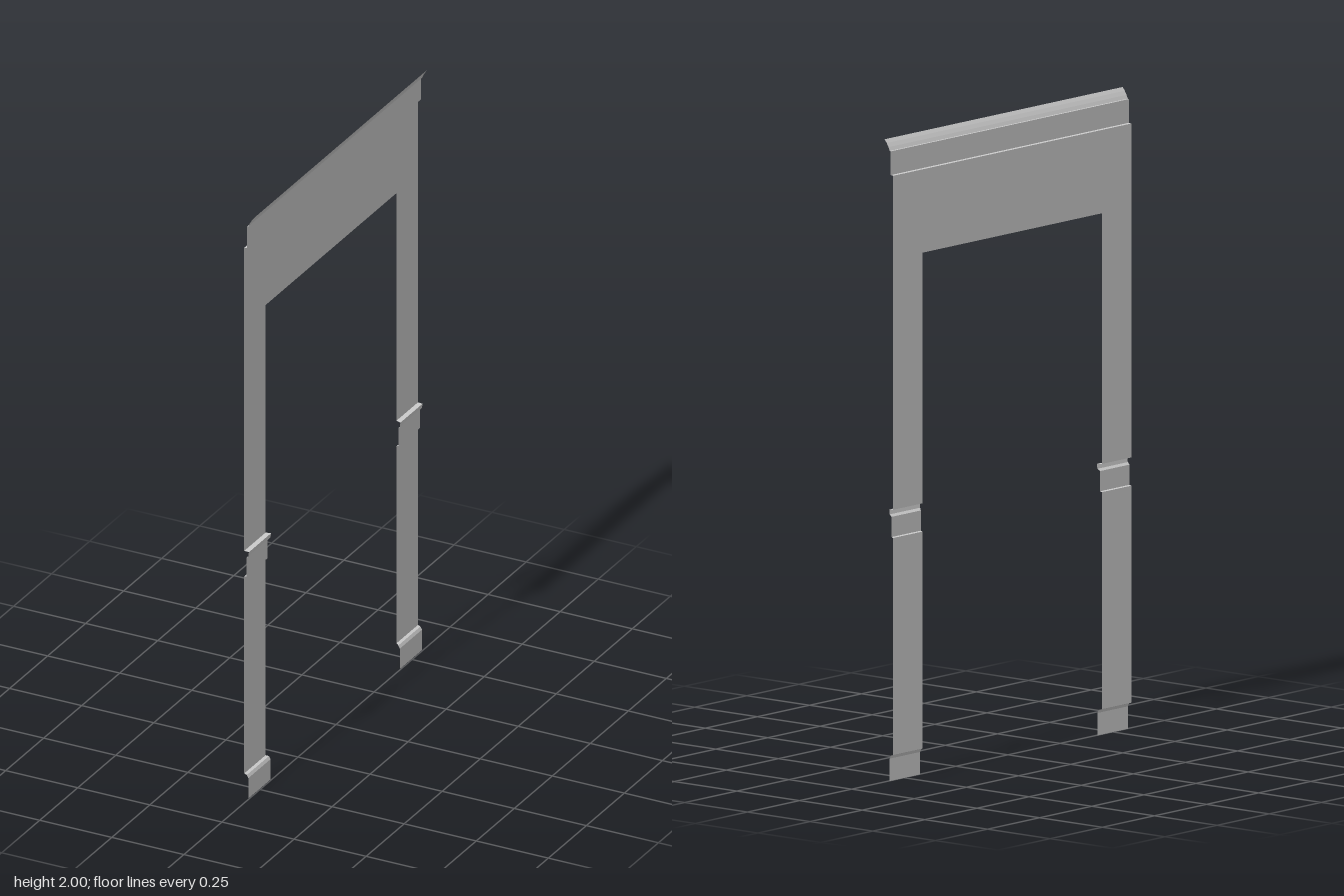
import * as THREE from 'three';

const OUTER = 0.571;   // half width along z
const INNER = 0.43;    // half width of the opening
const WALL = -0.017;   // x of the wall plane
const BAND = -0.007;   // x of the raised bands

const material = new THREE.MeshStandardMaterial({
  color: 0xcccccc, flatShading: true, side: THREE.DoubleSide,
});

// Sweeps an [x, y, inner z] profile (bottom to top) out to z = outer, facing +x.
function sheet(name, profile, outer = OUTER) {
  const positions = [];
  const index = [];
  profile.forEach(([x, y, inner], i) => {
    positions.push(x, y, outer, x, y, inner);
    if (i > 0) {
      const a = 2 * (i - 1);
      // keep the front face towards +x for either sign of z
      if (outer > 0) index.push(a, a + 1, a + 3, a, a + 3, a + 2);
      else index.push(a, a + 3, a + 1, a, a + 2, a + 3);
    }
  });
  const geometry = new THREE.BufferGeometry();
  geometry.setAttribute('position', new THREE.Float32BufferAttribute(positions, 3));
  geometry.setIndex(index);
  geometry.computeVertexNormals();
  const mesh = new THREE.Mesh(geometry, material);
  mesh.name = name;
  return mesh;
}

export function createModel() {
  const model = new THREE.Group();
  model.name = 'doorSurround';

  // Jambs: baseboard, lower panel, chair rail and upper panel on each side
  const wide = INNER - 0.005;
  const jambParts = {
    Baseboard: [[-0.003, 0, wide], [-0.003, 0.07, wide], [-0.008, 0.08, wide], [WALL, 0.083, INNER]],
    LowerPanel: [[WALL, 0.083, INNER], [WALL, 0.76, INNER]],
    ChairRail: [
      [WALL, 0.76, INNER], [-0.01, 0.762, INNER], [-0.01, 0.825, INNER],
      [-0.003, 0.832, wide], [-0.001, 0.847, wide], [WALL, 0.848, INNER],
    ],
    UpperPanel: [[WALL, 0.848, INNER], [WALL, 1.63, INNER]],
  };
  for (const side of [1, -1]) {
    const prefix = side > 0 ? 'left' : 'right';
    for (const [part, profile] of Object.entries(jambParts)) {
      const sided = profile.map(([x, y, z]) => [x, y, z * side]);
      model.add(sheet(prefix + part, sided, OUTER * side));
    }
  }

  // Header: plain wall, raised frieze and flared crown moulding
  const full = (points) => points.map(([x, y]) => [x, y, -OUTER]);
  model.add(sheet('header', full([[WALL, 1.63], [WALL, 1.89]])));
  model.add(sheet('frieze', full([[WALL, 1.89], [BAND, 1.891], [BAND, 1.965]])));
  model.add(sheet('crown', full([
    [BAND, 1.965], [-0.003, 1.966], [0.002, 1.977], [0.009, 1.989], [0.017, 2],
  ])));
  return model;
}
